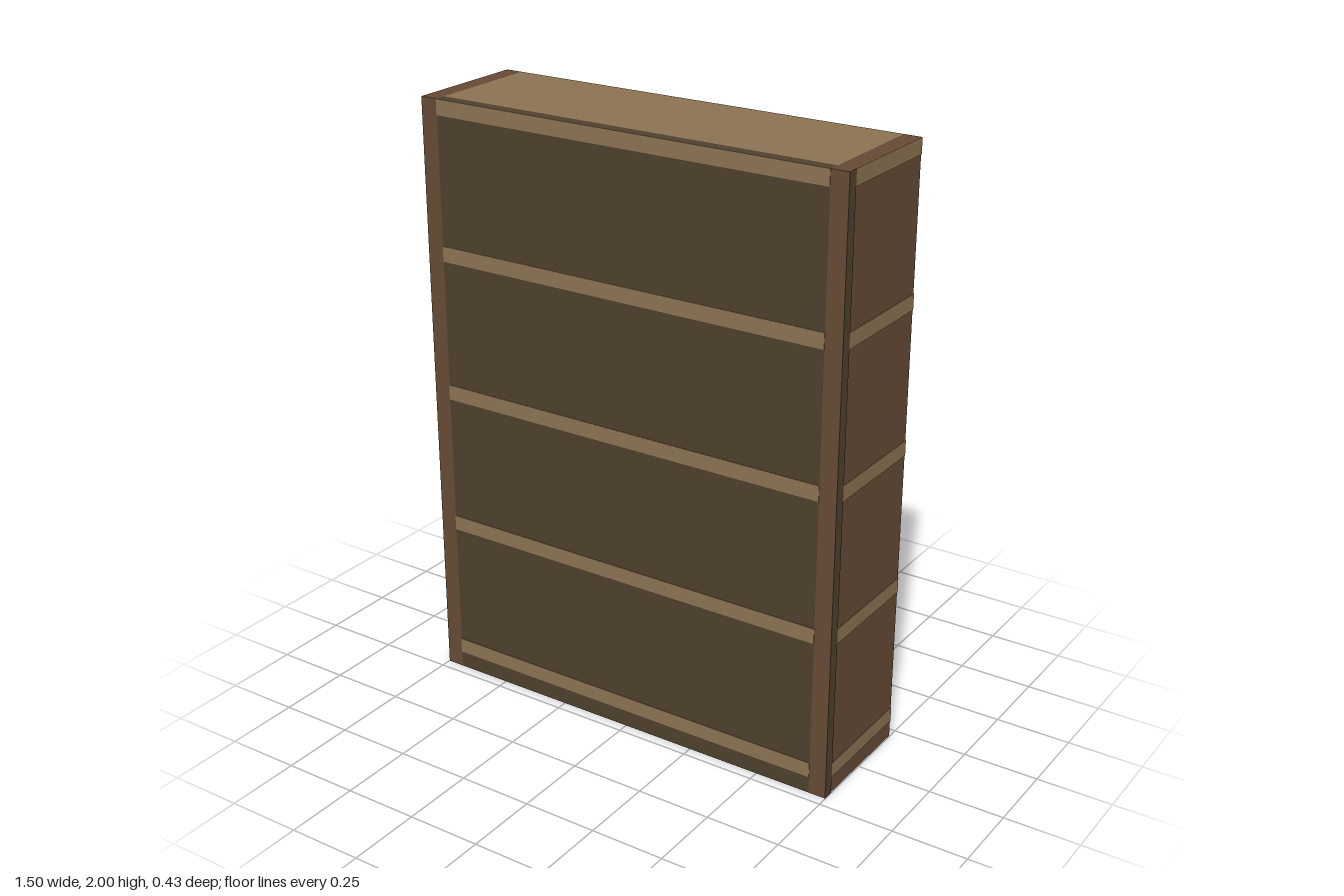
import * as THREE from 'three';

const mat = (name, color) => {
  const m = new THREE.MeshStandardMaterial({ color });
  m.name = name;
  return m;
};

export function createModel() {
  const group = new THREE.Group();
  group.name = 'bookcase';
  const sideWood = mat('reddish brown wood', 0x664a35);
  const shelfWood = mat('light brown wood', 0x8b7252);
  const panelWood = mat('dark brown wood', 0x4e402d);

  // box given by its lower and upper limits on each axis
  function board(name, material, [x0, x1], [y0, y1], [z0, z1]) {
    const mesh = new THREE.Mesh(new THREE.BoxGeometry(x1 - x0, y1 - y0, z1 - z0), material);
    mesh.position.set((x0 + x1) / 2, (y0 + y1) / 2, (z0 + z1) / 2);
    mesh.name = name;
    group.add(mesh);
  }

  const H = 2, W = 0.747, inner = 0.69, D = 0.214, panelZ = 0.176;
  const thick = 0.051, skin = 0.002;

  // upright sides, each with the panel's edge showing on the outside
  for (const s of [-1, 1]) {
    const span = (a, b) => [Math.min(s * a, s * b), Math.max(s * a, s * b)];
    board('side', sideWood, span(inner, W), [0, H], [-D, D]);
    board('panelEdge', panelWood, span(W, W + skin), [0, H], [panelZ, D]);
  }

  // full-height closing panel
  board('panel', panelWood, [-inner, inner], [0, H], [panelZ, D]);

  // five evenly spaced shelves, with their edges showing through sides and panel
  for (let i = 0; i < 5; i++) {
    const top = 0.108 + i * 0.473;
    const y = [top - thick, top];
    board('shelf', shelfWood, [-inner, inner], y, [-D, panelZ]);
    board('shelfFrontEdge', shelfWood, [-inner, inner], y, [D, D + skin]);
    board('shelfEndLeft', shelfWood, [W, W + skin], y, [-D, panelZ]);
    board('shelfEndRight', shelfWood, [-W - skin, -W], y, [-D, panelZ]);
  }
  return group;
}
